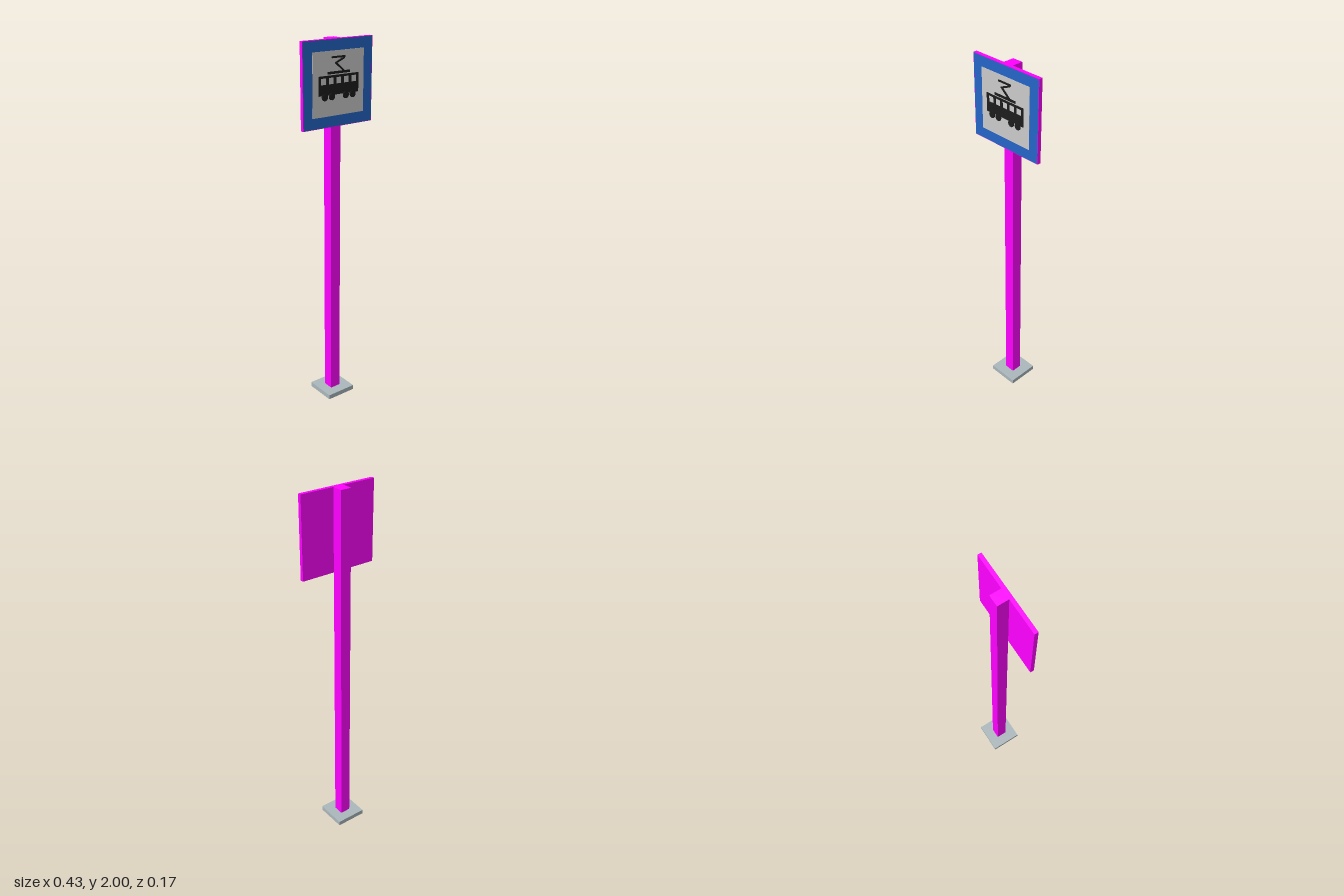
import * as THREE from 'three';

const mat = (color) => new THREE.MeshStandardMaterial({ color });

// Rectangle outline given by its edges
function rect(Type, x0, x1, y0, y1) {
  return new Type([[x0, y0], [x1, y0], [x1, y1], [x0, y1]].map(([x, y]) => new THREE.Vector2(x, y)));
}

export function createModel() {
  const model = new THREE.Group();
  const magenta = mat(0xff00ff), blue = mat(0x2566c8), white = mat(0xcccccc);
  const grey = mat(0xabb7bc), black = mat(0x1c1c1c);

  const add = (name, geometry, material, parent = model) => {
    const mesh = new THREE.Mesh(geometry, material);
    mesh.name = name;
    parent.add(mesh);
    return mesh;
  };
  // Box given by its edges
  const box = (name, material, [x0, x1], [y0, y1], [z0, z1], parent) =>
    add(name, new THREE.BoxGeometry(x1 - x0, y1 - y0, z1 - z0), material, parent)
      .position.set((x0 + x1) / 2, (y0 + y1) / 2, (z0 + z1) / 2);

  // Base plate with a square hole for the post
  const plate = rect(THREE.Shape, -0.087, 0.087, -0.087, 0.087);
  plate.holes.push(rect(THREE.Path, -0.03, 0.03, -0.03, 0.03));
  const plateGeometry = new THREE.ExtrudeGeometry(plate, { depth: 0.026, bevelEnabled: false });
  plateGeometry.rotateX(-Math.PI / 2);
  add('basePlate', plateGeometry, grey);

  // Post and sign board
  box('post', magenta, [-0.03, 0.03], [0, 2], [-0.03, 0.03]);
  box('signBoard', magenta, [-0.217, 0.217], [1.567, 2], [0.03, 0.05]);

  // Blue border and pale centre field
  const border = add('blueFace', new THREE.PlaneGeometry(0.43, 0.429), blue);
  border.position.set(0, 1.7835, 0.0508);
  box('centreField', white, [-0.16, 0.16], [1.624, 1.944], [0.0508, 0.0522]);

  // Tram pictogram
  const tram = new THREE.Group();
  tram.name = 'tramPictogram';
  model.add(tram);

  // Body with five window openings
  const body = rect(THREE.Shape, -0.124, 0.124, 1.73, 1.826);
  for (let i = -2; i <= 2; i++) {
    const x = i * 0.047;
    body.holes.push(rect(THREE.Path, x - 0.016, x + 0.016, 1.783, 1.815));
  }
  const bodyGeometry = new THREE.ExtrudeGeometry(body, { depth: 0.0034, bevelEnabled: false });
  bodyGeometry.translate(0, 0, 0.0522);
  add('tramBody', bodyGeometry, black, tram);
  box('roofBar', black, [-0.07, 0.07], [1.832, 1.844], [0.0522, 0.0556], tram);

  // Wheels
  for (const x of [-0.088, -0.044, 0.044, 0.088]) {
    const wheel = add('wheel', new THREE.CylinderGeometry(0.018, 0.018, 0.005, 20), black, tram);
    wheel.rotation.x = Math.PI / 2;
    wheel.position.set(x, 1.722, 0.0555);
  }

  // Current collector: jointed arms and contact bar
  const joints = [[0.034, 1.84], [-0.019, 1.885], [0.032, 1.906]];
  for (let i = 0; i < 2; i++) {
    const [[x0, y0], [x1, y1]] = [joints[i], joints[i + 1]];
    const arm = add('collectorArm',
      new THREE.BoxGeometry(Math.hypot(x1 - x0, y1 - y0) + 0.006, 0.008, 0.0058), black, tram);
    arm.position.set((x0 + x1) / 2, (y0 + y1) / 2, 0.0551);
    arm.rotation.z = Math.atan2(y1 - y0, x1 - x0);
  }
  box('contactBar', black, [-0.043, 0.04], [1.908, 1.917], [0.0522, 0.0556], tram);

  return model;
}
